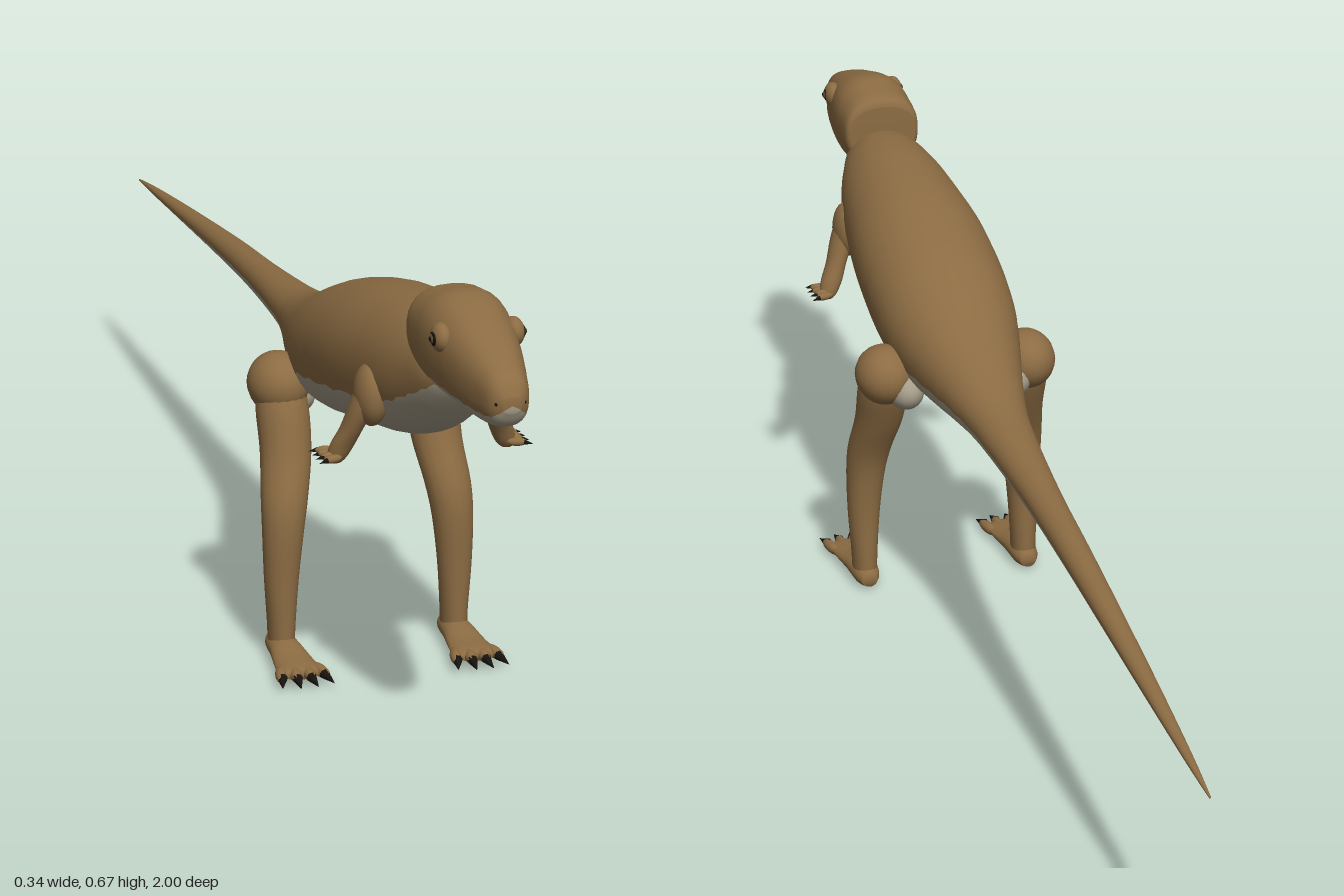
import * as THREE from 'three';

const mat = (name, color) => {
  const m = new THREE.MeshStandardMaterial({ color });
  m.name = name;
  return m;
};

// Smooth interpolation through rows of numbers, n steps per span
function refine(rows, n) {
  const out = [];
  const at = i => rows[Math.max(0, Math.min(rows.length - 1, i))];
  for (let i = 0; i < rows.length - 1; i++) {
    for (let k = 0; k < n; k++) {
      const t = k / n, a = at(i - 1), b = at(i), c = at(i + 1), d = at(i + 2);
      out.push(b.map((v, j) => v + 0.5 * t * (c[j] - a[j]
        + t * (2 * a[j] - 5 * v + 4 * c[j] - d[j]
        + t * (3 * (v - c[j]) + d[j] - a[j])))));
    }
  }
  out.push(rows[rows.length - 1]);
  return out;
}

// Joins rings of points into a capped skin; columns from `split` on use material 1
function skin(rings, split = Infinity) {
  const n = rings[0].length, pos = [], faces = [[], []];
  rings.forEach(r => r.forEach(p => pos.push(...p)));
  for (let j = 0; j < n; j++) {
    const k = (j + 1) % n, list = faces[j < split ? 0 : 1];
    for (let i = 0; i < rings.length - 1; i++) {
      const a = i * n + j, b = i * n + k;
      list.push(a, a + n, b, b, a + n, b + n);
    }
  }
  [0, rings.length - 1].forEach((i, end) => {
    const c = pos.length / 3;
    pos.push(...[0, 1, 2].map(q => rings[i].reduce((s, p) => s + p[q], 0) / n));
    for (let j = 0; j < n; j++) {
      const a = i * n + j, b = i * n + (j + 1) % n;
      faces[j < split ? 0 : 1].push(c, ...(end ? [b, a] : [a, b]));
    }
  });
  const g = new THREE.BufferGeometry();
  g.setAttribute('position', new THREE.Float32BufferAttribute(pos, 3));
  g.setIndex([...faces[0], ...faces[1]]);
  g.addGroup(0, faces[0].length, 0);
  g.addGroup(faces[0].length, faces[1].length, 1);
  g.computeVertexNormals();
  return g;
}

// Rows run front to back: [z, bottom, top, half width, belly share of height]
function trunk(rows, n, p) {
  const up = 22, low = 14;
  const rings = refine(rows, n).map(([z, y0, y1, w, f], i) => {
    const s = 2 * (f + 0.015 * Math.sin(i * 2.3)) - 1;
    const a0 = Math.asin(Math.sign(s) * Math.abs(s) ** (1 / p));
    const ring = [];
    for (let j = 0; j < up + low; j++) {
      const a = j < up ? a0 + (Math.PI - 2 * a0) * j / up
        : Math.PI - a0 + (Math.PI + 2 * a0) * (j - up) / low;
      const e = v => Math.sign(v) * Math.abs(v) ** p;
      ring.push([w * e(Math.cos(a)), (y0 + y1) / 2 + (y1 - y0) / 2 * e(Math.sin(a)), z]);
    }
    return ring;
  });
  return skin(rings, up);
}

// Rows run top to bottom: [y, centre x, centre z, radius x, radius z]
function limb(rows, side) {
  return skin(refine(rows, 4).map(([y, cx, cz, rx, rz]) =>
    Array.from({ length: 18 }, (_, j) => {
      const a = j / 18 * Math.PI * 2;
      return [side * cx + rx * Math.cos(a), y, cz - rz * Math.sin(a)];
    })));
}

export function createModel() {
  const root = new THREE.Group();
  root.name = 'bipedalReptile';
  const hide = mat('brownHide', 0x8c6c43), belly = mat('paleBelly', 0xa69d89);
  const dark = mat('darkClaw', 0x17130f), iris = mat('amberIris', 0x65502f);

  const add = (parent, name, geo, m) => {
    const mesh = new THREE.Mesh(geo, m);
    mesh.name = name;
    parent.add(mesh);
    return mesh;
  };
  const ball = (parent, name, m, [x, y, z], [rx, ry, rz]) => {
    const mesh = add(parent, name, new THREE.SphereGeometry(1, 20, 14), m);
    mesh.position.set(x, y, z);
    mesh.scale.set(rx, ry, rz);
    return mesh;
  };
  const claw = (parent, name, from, dir, r, len) => {
    const d = new THREE.Vector3(...dir).normalize();
    const mesh = add(parent, name, new THREE.ConeGeometry(r, len, 8), dark);
    mesh.position.set(...from).addScaledVector(d, len / 2);
    mesh.quaternion.setFromUnitVectors(new THREE.Vector3(0, 1, 0), d);
  };

  // Body and tail in one tapering skin with a pale underside
  add(root, 'bodyAndTail', trunk([
    [0.77, 0.535, 0.58, 0.03, 0.15],
    [0.755, 0.51, 0.6, 0.05, 0.2],
    [0.72, 0.47, 0.611, 0.066, 0.27],
    [0.67, 0.435, 0.614, 0.082, 0.28],
    [0.6, 0.41, 0.61, 0.094, 0.3],
    [0.48, 0.385, 0.593, 0.107, 0.3],
    [0.36, 0.358, 0.562, 0.108, 0.33],
    [0.28, 0.35, 0.532, 0.1, 0.34],
    [0.19, 0.355, 0.495, 0.08, 0.38],
    [0.1, 0.364, 0.463, 0.059, 0.42],
    [0, 0.37, 0.438, 0.042, 0.44],
    [-0.2, 0.367, 0.417, 0.028, 0.44],
    [-0.4, 0.36, 0.4, 0.022, 0.42],
    [-0.7, 0.344, 0.367, 0.014, 0.38],
    [-0.9, 0.332, 0.343, 0.007, 0.3],
    [-1, 0.326, 0.329, 0.0015, 0.3],
  ], 5, 0.95), [hide, belly]);

  // Head with pale lower jaw
  const head = new THREE.Group();
  head.name = 'head';
  root.add(head);
  add(head, 'skullAndJaw', trunk([
    [1, 0.57, 0.59, 0.012, 0.2],
    [0.985, 0.548, 0.613, 0.027, 0.22],
    [0.95, 0.539, 0.63, 0.037, 0.22],
    [0.89, 0.537, 0.652, 0.05, 0.2],
    [0.81, 0.536, 0.674, 0.061, 0.18],
    [0.76, 0.54, 0.67, 0.062, 0.16],
    [0.728, 0.553, 0.663, 0.06, 0.14],
    [0.72, 0.565, 0.65, 0.053, 0.14],
  ], 5, 0.82), [hide, belly]);

  for (const side of [1, -1]) {
    const tag = side > 0 ? 'left' : 'right';
    const X = x => side * x;

    // Eye and nostril
    ball(head, tag + 'Eyelid', hide, [X(0.05), 0.63, 0.85], [0.014, 0.02, 0.022]);
    ball(head, tag + 'EyeRim', dark, [X(0.055), 0.63, 0.852], [0.0105, 0.013, 0.014]);
    ball(head, tag + 'Iris', iris, [X(0.058), 0.63, 0.852], [0.0088, 0.009, 0.01]);
    ball(head, tag + 'Pupil', dark, [X(0.062), 0.63, 0.853], [0.0056, 0.005, 0.005]);
    ball(head, tag + 'Nostril', dark, [X(0.017), 0.581, 0.991], [0.005, 0.005, 0.004]);

    // Hind leg: hip, thigh and shin
    const leg = new THREE.Group();
    leg.name = tag + 'HindLeg';
    root.add(leg);
    ball(leg, 'hip', hide, [X(0.113), 0.39, 0.28], [0.045, 0.046, 0.052]);
    ball(leg, 'innerThighPatch', belly, [X(0.085), 0.37, 0.265], [0.03, 0.032, 0.042]);
    add(leg, 'thighAndShin', limb([
      [0.405, 0.112, 0.285, 0.03, 0.03],
      [0.36, 0.112, 0.296, 0.038, 0.041],
      [0.3, 0.113, 0.318, 0.037, 0.038],
      [0.24, 0.122, 0.344, 0.034, 0.034],
      [0.19, 0.127, 0.354, 0.03, 0.03],
      [0.12, 0.13, 0.356, 0.025, 0.026],
      [0.05, 0.13, 0.355, 0.02, 0.027],
      [0.012, 0.13, 0.355, 0.019, 0.028],
    ], side), hide);

    // Foot with four clawed toes
    const foot = add(leg, 'foot', trunk([
      [0.468, 0.007, 0.02, 0.025, 0.3],
      [0.455, 0.005, 0.024, 0.032, 0.3],
      [0.42, 0.004, 0.027, 0.029, 0.3],
      [0.38, 0.002, 0.035, 0.024, 0.3],
      [0.34, 0.001, 0.035, 0.02, 0.3],
      [0.32, 0.006, 0.028, 0.012, 0.3],
    ], 3, 1), hide);
    foot.position.x = X(0.13);
    for (let i = 0; i < 4; i++) {
      const d = (i - 1.5) * 0.019, z = 0.478 - Math.abs(d) * 0.35;
      const toe = ball(leg, 'toe' + (i + 1), hide,
        [X(0.13 + d), 0.014, z - 0.012], [0.0085, 0.009, 0.026]);
      toe.rotation.y = X(d * 9);
      claw(leg, 'toeClaw' + (i + 1), [X(0.13 + d * 1.08), 0.014, z + 0.004],
        [X(d * 9), -0.15, 1], 0.0075, 0.03);
    }

    // Short arm
    const arm = new THREE.Group();
    arm.name = tag + 'Arm';
    root.add(arm);
    ball(arm, 'shoulder', hide, [X(0.081), 0.485, 0.635], [0.024, 0.045, 0.035]);
    add(arm, 'forearm', limb([
      [0.505, 0.082, 0.636, 0.016, 0.022],
      [0.47, 0.092, 0.632, 0.018, 0.023],
      [0.435, 0.104, 0.622, 0.016, 0.019],
      [0.41, 0.114, 0.613, 0.017, 0.016],
      [0.39, 0.121, 0.608, 0.014, 0.013],
      [0.382, 0.123, 0.607, 0.008, 0.008],
    ], side), hide);

    // Hand with small clawed fingers
    for (let i = 0; i < 4; i++) {
      const d = (i - 1.5) * 0.013;
      const finger = ball(arm, 'finger' + (i + 1), hide,
        [X(0.132), 0.393, 0.607 + d], [0.014, 0.006, 0.006]);
      finger.rotation.y = -side * d * 12;
      claw(arm, 'fingerClaw' + (i + 1), [X(0.141), 0.393, 0.607 + d * 1.2],
        [side, -0.2, d * 15], 0.004, 0.013);
    }
  }
  return root;
}
